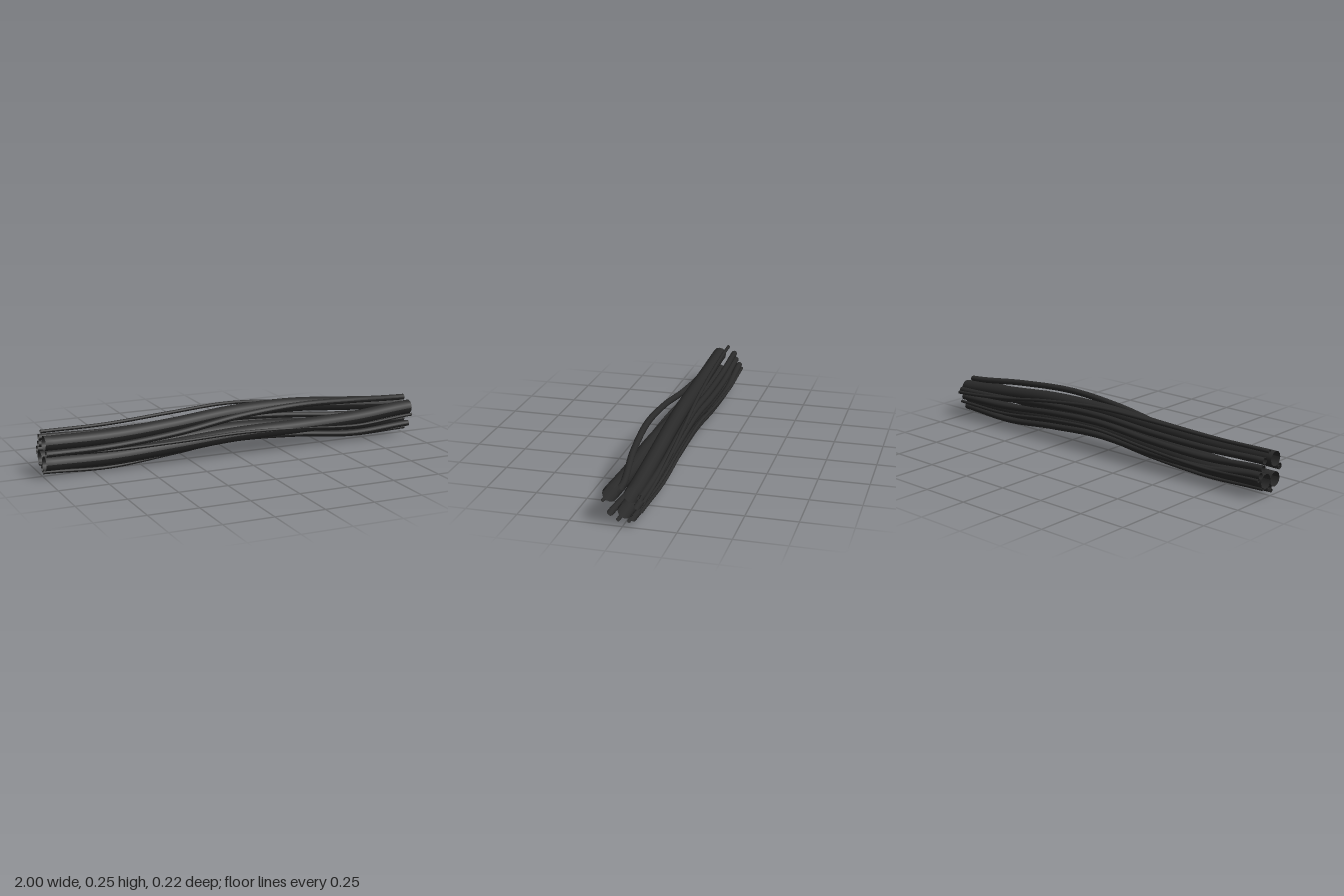
import * as THREE from 'three';

const material = new THREE.MeshStandardMaterial({ color: 0x2a2a2a, side: THREE.DoubleSide });

// Each cable: radius, then y and z at seven even steps from x = -1 to x = 1
const cables = {
  thickCableTop: [0.037,
    [0.175, 0.172, 0.188, 0.212, 0.213, 0.185, 0.16],
    [0.035, 0.028, 0.01, -0.014, -0.032, -0.04, -0.045]],
  thickCableFront: [0.037,
    [0.075, 0.073, 0.093, 0.116, 0.123, 0.13, 0.155],
    [0.035, 0.042, 0.05, 0.058, 0.068, 0.062, 0.055]],
  thickCableBottom: [0.037,
    [0.082, 0.078, 0.097, 0.12, 0.107, 0.083, 0.08],
    [-0.038, -0.034, -0.03, -0.027, -0.025, -0.02, -0.015]],
  mediumCableUpperFront: [0.016,
    [0.13, 0.135, 0.165, 0.215, 0.237, 0.222, 0.196],
    [0.07, 0.078, 0.083, 0.084, 0.08, 0.05, 0]],
  mediumCableLowerFront: [0.016,
    [0.04, 0.033, 0.057, 0.087, 0.077, 0.047, 0.065],
    [-0.005, 0.005, 0.02, 0.035, 0.048, 0.052, 0.055]],
  mediumCableBack: [0.016,
    [0.15, 0.132, 0.143, 0.165, 0.15, 0.118, 0.108],
    [-0.06, -0.068, -0.073, -0.075, -0.076, -0.074, -0.07]],
  mediumCableLowerBack: [0.016,
    [0.12, 0.085, 0.085, 0.1, 0.075, 0.04, 0.05],
    [-0.08, -0.085, -0.082, -0.075, -0.066, -0.055, -0.05]],
  mediumCableUpperBack: [0.016,
    [0.185, 0.175, 0.182, 0.2, 0.192, 0.165, 0.15],
    [-0.05, -0.058, -0.065, -0.07, -0.08, -0.086, -0.085]],
  thinCableUpperBack: [0.009,
    [0.222, 0.221, 0.235, 0.245, 0.218, 0.17, 0.14],
    [-0.015, -0.025, -0.05, -0.078, -0.097, -0.103, -0.104]],
  thinCableBottom: [0.009,
    [0.025, 0.012, 0.041, 0.073, 0.06, 0.026, 0.035],
    [0.01, 0.01, 0.008, 0, -0.005, 0.01, 0.02]],
  thinCableFront: [0.008,
    [0.125, 0.115, 0.12, 0.13, 0.12, 0.095, 0.12],
    [0.07, 0.078, 0.086, 0.092, 0.097, 0.09, 0.09]],
  thinCableBack: [0.008,
    [0.1, 0.09, 0.11, 0.138, 0.12, 0.085, 0.085],
    [-0.095, -0.1, -0.101, -0.1, -0.098, -0.096, -0.088]],
  thinCableLowerBack: [0.008,
    [0.05, 0.035, 0.05, 0.078, 0.067, 0.032, 0.033],
    [-0.06, -0.052, -0.047, -0.04, -0.036, -0.032, -0.03]],
};

// Bends a straight open tube along x by a spline in y and z
function makeCable(name, radius, ys, zs) {
  const path = new THREE.SplineCurve(ys.map((y, i) => new THREE.Vector2(y, zs[i])));
  const geometry = new THREE.CylinderGeometry(radius, radius, 2, 12, 48, true);
  geometry.rotateZ(-Math.PI / 2);
  const pos = geometry.attributes.position;
  for (let i = 0; i < pos.count; i++) {
    const t = THREE.MathUtils.clamp((pos.getX(i) + 1) / 2, 0, 1);
    const offset = path.getPoint(t);
    pos.setY(i, pos.getY(i) + offset.x);
    pos.setZ(i, pos.getZ(i) + offset.y);
  }
  geometry.computeVertexNormals();
  const mesh = new THREE.Mesh(geometry, material);
  mesh.name = name;
  return mesh;
}

export function createModel() {
  const bundle = new THREE.Group();
  bundle.name = 'cableBundle';
  for (const [name, [radius, ys, zs]] of Object.entries(cables)) {
    bundle.add(makeCable(name, radius, ys, zs));
  }
  return bundle;
}
